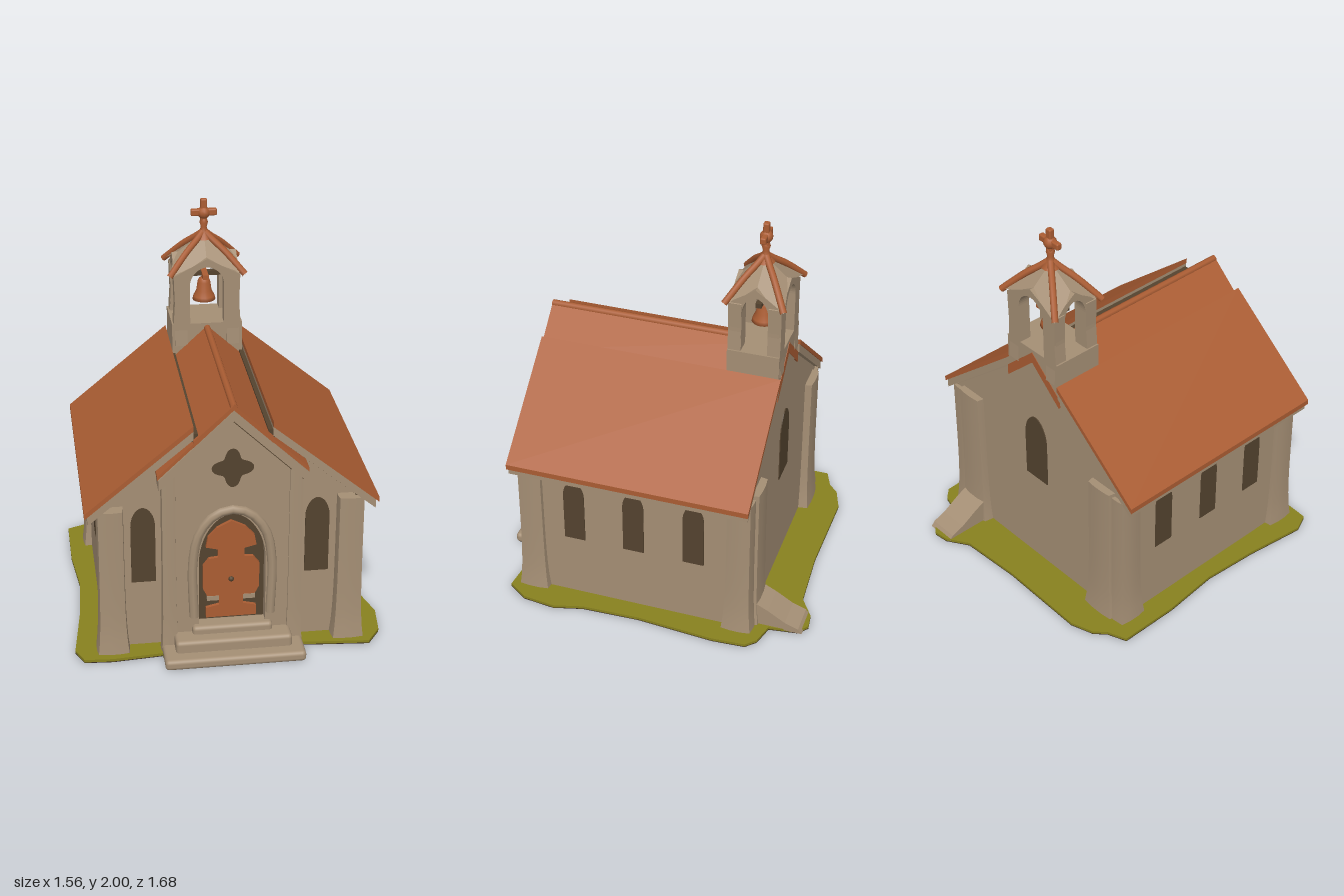
import * as THREE from 'three';
import { RoundedBoxGeometry } from 'three/addons/geometries/RoundedBoxGeometry.js';

const mat = (name, color) => new THREE.MeshStandardMaterial({ name, color });
const stone = mat('stone', 0xa58f75);
const tile = mat('terracotta', 0xab5d33);
const dark = mat('dark recess', 0x54432f);
const grass = mat('grass', 0x88811f);
const soil = mat('soil', 0x3a2d22);

const polygon = (pts) => new THREE.Shape(pts.map(([x, y]) => new THREE.Vector2(x, y)));

// Upright opening with a softly pointed top
function archShape(w, y0, spring, top, Type = THREE.Shape) {
  const s = new Type(), h = top - spring;
  s.moveTo(-w, y0);
  s.lineTo(w, y0);
  s.lineTo(w, spring);
  s.bezierCurveTo(w, spring + h * 0.55, w * 0.5, top, 0, top);
  s.bezierCurveTo(-w * 0.5, top, -w, spring + h * 0.55, -w, spring);
  s.closePath();
  return s;
}

const extrude = (shape, depth) =>
  new THREE.ExtrudeGeometry(shape, { depth, bevelEnabled: false, curveSegments: 12 });

export function createModel() {
  const model = new THREE.Group();
  model.name = 'chapel';

  const add = (name, geo, material, x = 0, y = 0, z = 0, parent = model) => {
    const m = new THREE.Mesh(geo, material);
    m.name = name;
    m.position.set(x, y, z);
    parent.add(m);
    return m;
  };
  const prism = (name, pts, z0, z1, material) =>
    add(name, extrude(polygon(pts), z1 - z0), material, 0, 0, z0);
  const tube = (name, pts, r, material, parent = model) =>
    add(name, new THREE.TubeGeometry(
      new THREE.CatmullRomCurve3(pts.map((p) => new THREE.Vector3(...p))), 24, r, 8),
    material, 0, 0, 0, parent);

  // Grass plot
  const outline = [[-0.75, -0.62], [-0.65, -0.66], [-0.6, -0.71], [-0.48, -0.75], [0, -0.74],
    [0.33, -0.76], [0.44, -0.83], [0.52, -0.84], [0.57, -0.8], [0.59, -0.65], [0.7, -0.62],
    [0.75, -0.57], [0.76, -0.4], [0.73, 0], [0.74, 0.3], [0.78, 0.45], [0.76, 0.62],
    [0.69, 0.72], [0.35, 0.69], [0.34, 0.82], [-0.34, 0.82], [-0.35, 0.7], [-0.6, 0.72],
    [-0.74, 0.71], [-0.78, 0.62], [-0.74, 0.3], [-0.72, 0], [-0.75, -0.3]];
  const plot = polygon(outline.map(([x, z]) => [x, -z]));
  add('grassPlot', extrude(plot, 0.014), grass, 0, 0.004).rotation.x = -Math.PI / 2;
  add('groundUnderside', extrude(plot, 0.004), soil).rotation.x = -Math.PI / 2;

  // Main walls
  prism('mainWalls', [[-0.63, 0.01], [0.63, 0.01], [0.63, 0.81], [0.19, 1.17], [0, 1.3],
    [-0.19, 1.17], [-0.63, 0.81]], -0.54, 0.6, stone);

  // Piers that flare towards the ground
  const pier = (name, w, h, d, x, z) => {
    const g = new THREE.BoxGeometry(w, h, d, 3, 10, 3).translate(0, h / 2, 0);
    const p = g.attributes.position;
    for (let i = 0; i < p.count; i++) {
      const f = 1 + 0.3 * Math.exp(-p.getY(i) * 8);
      const u = p.getX(i) / (w / 2), v = p.getZ(i) / (d / 2);
      const round = Math.abs(u * v) > 0.9 ? 0.92 : 1;
      p.setX(i, p.getX(i) * f * round);
      p.setZ(i, p.getZ(i) * f * round);
    }
    g.computeVertexNormals();
    add(name, g, stone, x, 0.005, z);
  };
  for (const s of [-1, 1]) {
    pier('frontCornerPier', 0.13, 0.8, 0.13, s * 0.59, 0.6);
    pier('backCornerPier', 0.14, 0.8, 0.13, s * 0.585, -0.495);
    pier('backButtress', 0.16, 0.82, 0.12, s * 0.5, -0.52);
    pier('bayPilaster', 0.07, 1.01, 0.07, s * 0.31, 0.645);
  }

  // Front bay with door opening
  const bay = polygon([[-0.34, 0.01], [0.34, 0.01], [0.34, 1.0], [0, 1.32], [-0.34, 1.0]]);
  bay.holes.push(archShape(0.165, 0.14, 0.5, 0.765, THREE.Path));
  add('frontBay', extrude(bay, 0.08), stone, 0, 0, 0.59);
  add('doorRecess', extrude(archShape(0.17, 0.13, 0.5, 0.77), 0.008), dark, 0, 0, 0.605);
  const half = [[0.125, 0.165], [0.125, 0.22], [0.06, 0.235], [0.06, 0.265], [0.12, 0.29],
    [0.14, 0.33], [0.14, 0.46], [0.11, 0.5], [0.065, 0.505], [0.065, 0.55], [0.125, 0.565],
    [0.115, 0.62], [0.07, 0.67], [0, 0.705]];
  const mirrored = half.slice(0, -1).reverse().map(([x, y]) => [-x, y]);
  prism('door', [...half, ...mirrored], 0.61, 0.632, tile);
  for (const s of [-1, 1]) add('doorHinge', new THREE.BoxGeometry(0.06, 0.025, 0.02), stone, s * 0.09, 0.275, 0.625);
  add('doorHandle', new THREE.SphereGeometry(0.014, 10, 8), dark, 0, 0.38, 0.632);
  tube('doorMoulding', [[-0.19, 0.2, 0.668], [-0.195, 0.5, 0.668], [-0.165, 0.66, 0.668],
    [-0.09, 0.76, 0.668], [0, 0.79, 0.668], [0.09, 0.76, 0.668], [0.165, 0.66, 0.668],
    [0.195, 0.5, 0.668], [0.19, 0.2, 0.668]], 0.024, stone);

  // Four-lobed gable window
  const lobes = new THREE.Shape();
  for (let i = 0; i <= 64; i++) {
    const a = (i / 64) * Math.PI * 2, r = 0.082 + 0.02 * Math.cos(4 * a);
    lobes[i ? 'lineTo' : 'moveTo'](r * Math.cos(a), r * Math.sin(a));
  }
  add('gableWindow', extrude(lobes, 0.008), dark, 0, 1.015, 0.665);

  // Entrance steps
  [[0.7, 0.055, 0.84], [0.58, 0.115, 0.77], [0.4, 0.155, 0.705]].forEach(([w, h, z]) =>
    add('step', new RoundedBoxGeometry(w, h, z - 0.61, 3, 0.02), stone, 0, h / 2, (z + 0.61) / 2));

  // Windows
  const pane = (name, w, y0, y1) => extrude(archShape(w, y0, y1 - w * 1.7, y1), 0.008);
  for (const s of [-1, 1]) {
    add('frontWindow', pane('', 0.06, 0.38, 0.79), dark, s * 0.43, 0, 0.597);
    for (const z of [0.37, 0.055, -0.26])
      add('sideWindow', pane('', 0.055, 0.37, 0.73), dark, s * 0.627, 0, z).rotation.y = s * Math.PI / 2;
  }
  add('backWindow', pane('', 0.08, 0.56, 0.95), dark, 0, 0, -0.537).rotation.y = Math.PI;

  // Roof slopes, eaves and the raised ridge strip
  for (const s of [-1, 1]) {
    const sloped = (name, a, b, t0, t1, z0, z1, m) => prism(name,
      [[s * a[0], a[1] - t0], [s * b[0], b[1] - t0], [s * b[0], b[1] - t1], [s * a[0], a[1] - t1]],
      z0, z1, m);
    sloped('roofSlope', [0.19, 1.255], [0.715, 0.82], 0, 0.028, -0.56, 0.69, tile);
    sloped('roofTrim', [0.19, 1.255], [0.7, 0.832], 0.028, 0.075, -0.555, 0.685, stone);
    sloped('frontSoffit', [0.19, 1.255], [0.64, 0.882], 0.075, 0.095, 0.595, 0.63, dark);
    sloped('ridgeStrip', [0, 1.355], [0.19, 1.18], 0, 0.06, -0.55, 0.7, tile);
    sloped('bayRoof', [0, 1.355], [0.365, 1.01], 0.005, 0.025, 0.6, 0.7, tile);
    sloped('bayBargeboard', [0, 1.355], [0.36, 1.01], 0.025, 0.08, 0.6, 0.705, stone);
    sloped('bayShadowLine', [0, 1.355], [0.34, 1.03], 0.08, 0.095, 0.66, 0.678, dark);
    add('roofGutter', new THREE.BoxGeometry(0.03, 0.04, 1.22), dark, s * 0.183, 1.19, 0.07);
    for (let i = 0; i < 12; i++)
      add('eaveScallop', new THREE.BoxGeometry(0.03, 0.03 + 0.012 * (i % 2), 0.1), dark,
        s * 0.625, 0.79, -0.49 + i * 0.0975);
  }
  tube('ridgeCap', [[0, 1.343, 0.7], [0, 1.343, 0.2], [0, 1.343, -0.28]], 0.018, tile);

  // Sloping boulder at the back
  add('backBoulder', extrude(polygon([[-0.5, 0.01], [-0.82, 0.01], [-0.8, 0.035], [-0.73, 0.06],
    [-0.64, 0.115], [-0.57, 0.15], [-0.5, 0.18]]), 0.16), stone, 0.58).rotation.y = -Math.PI / 2;

  // Bell tower
  const tower = new THREE.Group();
  tower.name = 'bellTower';
  tower.position.z = -0.415;
  model.add(tower);
  add('towerBase', new THREE.BoxGeometry(0.365, 0.19, 0.265), stone, 0, 1.275, 0, tower);
  const frame = (w, hole) => {
    const s = polygon([[-w - 0.01, 1.25], [w + 0.01, 1.25], [w - 0.005, 1.48], [w, 1.63],
      [0, 1.72], [-w, 1.63], [-w + 0.005, 1.48]]);
    s.holes.push(archShape(hole, 1.37, 1.58, 1.675, THREE.Path));
    return extrude(s, 0.065);
  };
  for (const s of [-1, 1]) {
    add('towerArch', frame(0.172, 0.088), stone, 0, 0, s * 0.1 - 0.0325, tower);
    const side = add('towerSideArch', frame(0.128, 0.066), stone, s * 0.135 - 0.0325, 0, 0, tower);
    side.rotation.y = Math.PI / 2;
  }

  // Tower cap: scooped stone faces between four tiled ridges
  const ring = [[0.15, 1.71, 0], [0.195, 1.635, 0.15], [0, 1.71, 0.12], [-0.195, 1.635, 0.15],
    [-0.15, 1.71, 0], [-0.195, 1.635, -0.15], [0, 1.71, -0.12], [0.195, 1.635, -0.15]];
  const faces = ring.flatMap((p, i) => [p, [0, 1.815, 0], ring[(i + 1) % 8]]).flat();
  const cap = new THREE.BufferGeometry();
  cap.setAttribute('position', new THREE.Float32BufferAttribute(faces, 3));
  cap.computeVertexNormals();
  const capStone = add('towerCap', cap, stone, 0, 0, 0, tower);
  capStone.castShadow = false;
  for (const s of [-1, 1]) for (const t of [-1, 1])
    tube('towerRidge', [[s * 0.195, 1.635, t * 0.148], [s * 0.1, 1.738, t * 0.076],
      [s * 0.035, 1.795, t * 0.027], [0, 1.83, 0]], 0.017, tile, tower);

  // Finial and cross
  const lathe = (pts) => new THREE.LatheGeometry(pts.map(([x, y]) => new THREE.Vector2(x, y)), 20);
  add('finial', lathe([[0.045, 1.79], [0.024, 1.82], [0.015, 1.85], [0.022, 1.875], [0.013, 1.9], [0, 1.905]]),
    tile, 0, 0, 0, tower);
  add('crossPost', new RoundedBoxGeometry(0.034, 0.13, 0.03, 2, 0.008), tile, 0, 1.935, 0, tower);
  add('crossArm', new RoundedBoxGeometry(0.135, 0.036, 0.03, 2, 0.008), tile, 0, 1.928, 0, tower);
  add('crossBoss', new THREE.SphereGeometry(0.033, 12, 8), tile, 0, 1.925, 0, tower);

  // Bell and its beams
  add('bellBeam', new THREE.BoxGeometry(0.22, 0.024, 0.03), dark, 0, 1.6, 0, tower);
  add('bellCrossBeam', new THREE.BoxGeometry(0.03, 0.024, 0.17), tile, 0, 1.602, 0, tower);
  add('bell', lathe([[0, 1.46], [0.045, 1.455], [0.06, 1.455], [0.055, 1.475], [0.04, 1.505], [0.034, 1.55],
    [0.025, 1.57], [0.012, 1.578], [0.012, 1.6]]), tile, 0, 0, 0, tower);
  add('bellClapper', new THREE.SphereGeometry(0.016, 10, 8), dark, 0, 1.455, 0, tower);

  return model;
}
